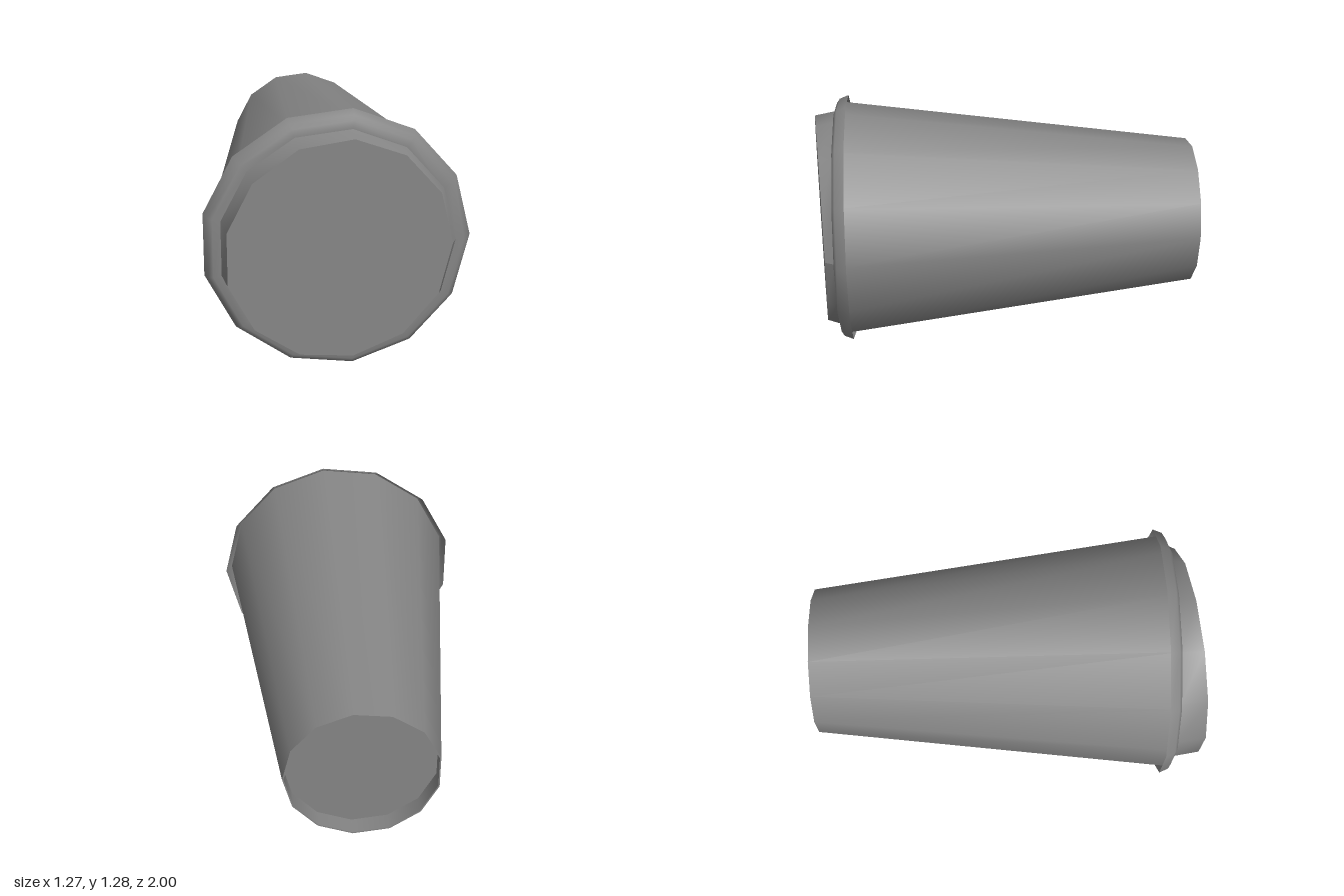
import * as THREE from 'three';

const SIDES = 13;
const CENTRE_X = -0.01, CENTRE_Y = 0.641;

const material = new THREE.MeshStandardMaterial({ color: 0x858585, side: THREE.DoubleSide });

// Lathe along +z from [radius, z] pairs, with one corner on +x
function ring(name, profile) {
  const points = profile.map(([r, z]) => new THREE.Vector2(r, z));
  const geometry = new THREE.LatheGeometry(points, SIDES, Math.PI / 2);
  geometry.rotateX(Math.PI / 2);
  const mesh = new THREE.Mesh(geometry, material);
  mesh.name = name;
  return mesh;
}

// Flat disc facing +z
function disc(name, radius, z) {
  const geometry = new THREE.CircleGeometry(radius, SIDES);
  geometry.translate(0, 0, z);
  const mesh = new THREE.Mesh(geometry, material);
  mesh.name = name;
  return mesh;
}

// Slope everything beyond minZ onto the tilted plane of the lid top
function tilt(mesh, minZ) {
  const p = mesh.geometry.attributes.position;
  for (let i = 0; i < p.count; i++) {
    if (p.getZ(i) > minZ) p.setZ(i, 0.949 - 0.098 * p.getX(i));
  }
  mesh.geometry.computeVertexNormals();
  return mesh;
}

export function createModel() {
  const model = new THREE.Group();
  model.name = 'lidded cup lying on its side';

  // Cup: tapered wall reaching up into the lid, narrow foot edge and recessed bottom
  const cup = new THREE.Group();
  cup.name = 'cup';
  const bottom = disc('cupBottom', 0.375, 0.91);
  bottom.rotation.y = Math.PI;
  bottom.scale.x = -1; // keeps the corner on +x
  cup.add(
    ring('cupWall', [[0.379, -1], [0.613, 0.838]]),
    ring('footEdge', [[0.372, -1], [0.379, -1]]),
    ring('footInside', [[0.375, -0.91], [0.372, -1]]),
    bottom
  );

  // Lid: rounded skirt running into the shoulder, and raised sloping top
  const lid = new THREE.Group();
  lid.name = 'lid';
  lid.add(
    ring('lidSkirt', [[0.645, 0.788], [0.626, 0.835], [0.603, 0.85], [0.563, 0.852]]),
    tilt(ring('lidWall', [[0.563, 0.852], [0.541, 0.95]]), 0.9),
    tilt(disc('lidTop', 0.541, 0.95), 0.9)
  );

  model.add(cup, lid);
  for (const part of model.children) part.position.set(CENTRE_X, CENTRE_Y, 0);
  return model;
}
